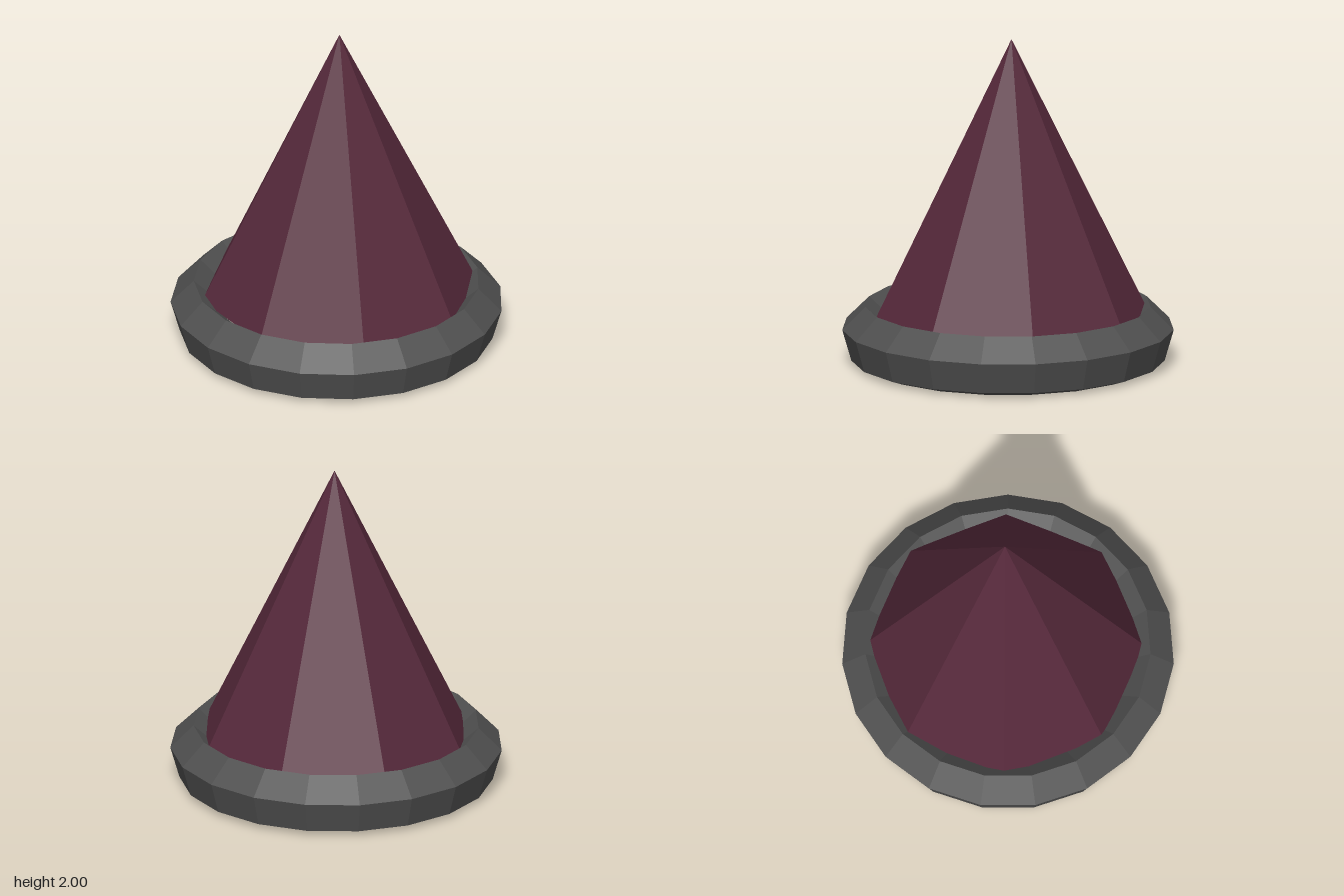
import * as THREE from 'three';

const rad = THREE.MathUtils.degToRad;

export function createModel() {
  const model = new THREE.Group();

  // Faceted ring: closed profile (radius, height), outer side going up
  const profile = [
    [0.86, 0], [0.945, 0.03], [1, 0.22], [0.86, 0.36], [0.715, 0.23], [0.77, 0.04], [0.86, 0],
  ].map(([r, y]) => new THREE.Vector2(r, y));
  const ring = new THREE.Mesh(
    new THREE.LatheGeometry(profile, 19, rad(1.4)),
    new THREE.MeshStandardMaterial({ color: 0x505050, flatShading: true }),
  );
  ring.name = 'baseRing';
  model.add(ring);

  // Eight-sided spike, resting in the ring slightly off centre
  const base = 0.28, height = 2 - base;
  const spike = new THREE.Mesh(
    new THREE.ConeGeometry(height * 0.488, height, 8, 1, false, rad(5.7)),
    new THREE.MeshStandardMaterial({ color: 0x56293b, flatShading: true }),
  );
  spike.name = 'spike';
  spike.position.set(0.017, base + height / 2, -0.02);
  model.add(spike);

  return model;
}
